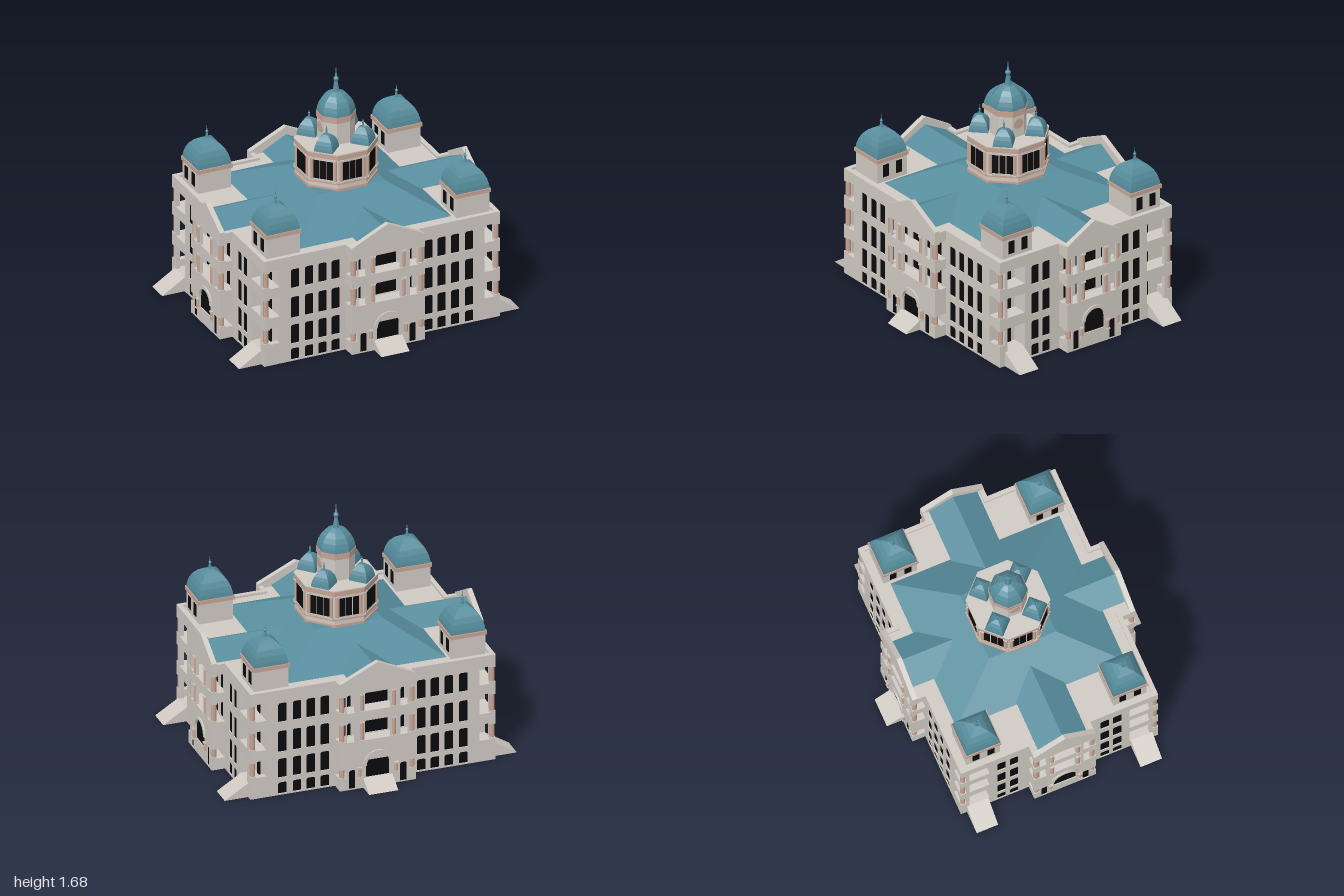
import * as THREE from 'three';

const material = (name, color) => { const m = new THREE.MeshStandardMaterial({ color }); m.name = name; return m; };

export function createModel() {
  const stone = material('pale stone', 0xcfc9c2), copper = material('teal roof', 0x578d9d);
  const salmon = material('salmon stone', 0xc6a493), glass = material('dark glass', 0x0b0b0d);
  const root = new THREE.Group();
  root.name = 'courthouse';

  // ---------- helpers ----------
  const add = (parent, name, geo, mat, x = 0, y = 0, z = 0, ry = 0) => {
    const m = new THREE.Mesh(geo, mat);
    m.name = name;
    m.position.set(x, y, z);
    m.rotation.y = ry;
    parent.add(m);
    return m;
  };
  const group = (name, ry = 0, x = 0, y = 0, z = 0) => {
    const g = new THREE.Group();
    g.name = name;
    g.rotation.y = ry;
    g.position.set(x, y, z);
    root.add(g);
    return g;
  };
  const flat = (g) => { const f = g.index ? g.toNonIndexed() : g; f.computeVertexNormals(); return f; };
  // box given by its extents
  const block = (p, name, mat, x0, x1, y0, y1, z0, z1) =>
    add(p, name, new THREE.BoxGeometry(Math.abs(x1 - x0), y1 - y0, Math.abs(z1 - z0)), mat, (x0 + x1) / 2, (y0 + y1) / 2, (z0 + z1) / 2);
  const column = (p, x, z, y0, y1, r = 0.016) => {
    add(p, 'column', new THREE.CylinderGeometry(r, r, y1 - y0, 12), salmon, x, (y0 + y1) / 2, z);
    for (const y of [y0 + 0.005, y1 - 0.005]) add(p, 'columnCap', new THREE.BoxGeometry(r * 2.3, 0.01, r * 2.3), stone, x, y, z);
  };
  const poly = (pts) => new THREE.Shape(pts.map(([x, y]) => new THREE.Vector2(x, y)));
  const extrude = (shape, depth) => new THREE.ExtrudeGeometry(shape, { depth, bevelEnabled: false, curveSegments: 10 });
  const opening = ({ x0, x1, y0, y1, arch }) => {
    if (!arch) {
      const c = 0.009;
      return poly([[x0, y0], [x1, y0], [x1, y1 - c], [x1 - c, y1], [x0 + c, y1], [x0, y1 - c]]);
    }
    const r = (x1 - x0) / 2, s = new THREE.Shape();
    s.moveTo(x0, y0);
    s.lineTo(x1, y0);
    s.lineTo(x1, y1 - r);
    s.absarc((x0 + x1) / 2, y1 - r, r, 0, Math.PI, false);
    s.closePath();
    return s;
  };
  // wall panel with its outer face at z, pierced by glazed or open holes
  const wall = (p, name, half, top, z, holes) => {
    const s = poly([[-half, 0], [half, 0], [half, top], [-half, top]]);
    for (const h of holes) {
      s.holes.push(opening(h));
      if (!h.open) add(p, 'windowPane', extrude(opening(h), 0.006), glass, 0, 0, z - 0.013);
    }
    add(p, name, extrude(s, 0.02), stone, 0, 0, z - 0.02);
  };
  const lathe = (pts, sides) => flat(new THREE.LatheGeometry(pts.map(([r, y]) => new THREE.Vector2(r, y)), sides));
  const prism = (r, y0, y1, sides, p, name, mat, x = 0, z = 0, ry = 0) =>
    add(p, name, flat(new THREE.CylinderGeometry(r, r, y1 - y0, sides)), mat, x, (y0 + y1) / 2, z, ry);
  // faceted dome with a bulging outline
  const dome = (p, r, y, h, sides, x, z, ry) => {
    const pts = [[1, 0], [0.97, 0.18], [0.89, 0.4], [0.75, 0.62], [0.52, 0.82], [0.26, 0.95], [0, 1]];
    add(p, 'dome', lathe(pts.map(([a, b]) => [a * r, b * h]), sides), copper, x, y, z, ry);
  };
  const finial = (p, x, y, z, h) => {
    const pts = [[0.14, -0.08], [0.11, 0.1], [0.06, 0.38], [0.1, 0.44], [0.1, 0.5], [0.05, 0.56], [0.025, 0.7], [0, 1]];
    add(p, 'finial', lathe(pts.map(([a, b]) => [a * h, b * h]), 8), copper, x, y, z);
  };
  // sloping ramp: high at the wall, falling toward +z
  const ramp = (p, x, z, width, run, h) => {
    const g = extrude(poly([[0, 0], [run, 0], [0, h]]), width);
    g.rotateY(-Math.PI / 2);
    add(p, 'ramp', g, stone, x + width / 2, 0, z);
  };

  const TOP = 0.735;
  const rows = [[0.01, 0.09], [0.125, 0.26], [0.31, 0.46], [0.525, 0.66]];

  // ---------- four facades, each with a projecting bay ----------
  const facade = (ry, D, half, w, windowsX, door) => {
    const g = group('facade', ry), k = w / 0.26, F = D + 0.09;
    const holes = [];
    for (const s of [-1, 1]) {
      for (const x of windowsX) for (const [y0, y1] of rows) holes.push({ x0: s * x - 0.03, x1: s * x + 0.03, y0, y1 });
    }
    for (const [y0, y1] of [[0.345, 0.475], [0.55, 0.67]]) {
      holes.push({ x0: -0.1 * k, x1: 0.1 * k, y0, y1 });
      for (const s of [-1, 1]) holes.push({ x0: s * 0.183 * k - 0.03, x1: s * 0.183 * k + 0.03, y0, y1 });
    }
    wall(g, 'mainWall', half, TOP, D, holes);

    // bay front with loggia openings, entrance and small doors
    const bay = [{ x0: -door.r, x1: door.r, y0: door.y0, y1: door.y1, arch: true, open: door.lunette }];
    for (const [y0, y1] of [[0.34, 0.48], [0.55, 0.68]]) {
      bay.push({ x0: -0.09 * k, x1: 0.09 * k, y0, y1, open: true });
      for (const s of [-1, 1]) {
        bay.push({ x0: s * 0.183 * k - 0.028 * k, x1: s * 0.183 * k + 0.028 * k, y0, y1, open: true });
        column(g, s * 0.11 * k, F - 0.004, y0, y1, 0.014);
      }
    }
    for (const s of [-1, 1]) bay.push({ x0: s * 0.175 * k - 0.022, x1: s * 0.175 * k + 0.022, y0: 0.006, y1: 0.14 });
    wall(g, 'bayFront', 0.215 * k, TOP, F, bay);
    if (door.lunette) {
      block(g, 'entranceDoor', glass, -door.r, door.r, door.y0, 0.19, F - 0.018, F - 0.012);
      block(g, 'lunette', stone, -door.r, door.r, 0.19, door.y1, F - 0.018, F - 0.012);
    }
    const ring = new THREE.Shape(), cy = door.y1 - door.r;
    ring.absarc(0, cy, door.r + 0.022, 0, Math.PI, false);
    ring.absarc(0, cy, door.r, Math.PI, 0, true);
    add(g, 'doorArch', extrude(ring, 0.012), stone, 0, 0, F - 0.002);
    for (const [y0, y1] of [[0, 0.08], [0.16, 0.34], [0.48, 0.55], [0.68, TOP]]) {
      block(g, 'bayFloor', stone, -w, w, y0, y1, D, F - 0.02);
      for (const s of [-1, 1]) block(g, 'bayCorner', stone, s * 0.215 * k, s * w, y0, y1, F - 0.02, F);
    }
    for (const s of [-1, 1]) {
      for (const [y0, y1] of [[0.08, 0.16], [0.34, 0.48], [0.55, 0.68]]) column(g, s * (w - 0.02), F - 0.02, y0, y1, 0.018);
      column(g, s * 0.125 * k, F + 0.003, 0.08, 0.155, 0.012);
    }
    // gable parapet and wing roof behind it
    add(g, 'gable', extrude(poly([[-w, TOP], [w, TOP], [w, 0.765], [0, 0.89], [-w, 0.765]]), 0.035), stone, 0, 0, F - 0.035);
    add(g, 'wingRoof', extrude(poly([[-0.17, 0.748], [0.17, 0.748], [0, 0.836]]), F - 0.335), copper, 0, 0, 0.3);
    return g;
  };
  for (const ry of [0, Math.PI]) {
    const g = facade(ry, 0.69, 0.73, 0.26, [0.33, 0.425, 0.52, 0.62], { r: 0.08, y0: 0.07, y1: 0.238, lunette: true });
    ramp(g, 0, 0.78, 0.2, 0.11, 0.07);
  }
  for (const ry of [Math.PI / 2, -Math.PI / 2]) {
    const g = facade(ry, 0.84, 0.49, 0.215, [0.317, 0.405], { r: 0.077, y0: 0.1, y1: 0.26, lunette: false });
    for (const s of [-1, 1]) ramp(g, s * 0.573, 0.84, 0.15, 0.16, 0.1);
  }

  // ---------- corner porches and domed towers ----------
  for (const sx of [-1, 1]) for (const sz of [-1, 1]) {
    const g = group('cornerPorch');
    for (const [y0, y1] of [[0, 0.1], [0.265, 0.34], [0.48, 0.55], [0.675, TOP]])
      block(g, 'porchFloor', stone, sx * 0.73, sx * 0.84, y0, y1, sz * 0.49, sz * 0.69);
    block(g, 'porchBackWall', stone, sx * 0.71, sx * 0.73, 0, TOP, sz * 0.49, sz * 0.69);
    block(g, 'porchSideWall', stone, sx * 0.71, sx * 0.84, 0, TOP, sz * 0.47, sz * 0.49);
    block(g, 'porchPier', stone, sx * 0.81, sx * 0.84, 0, TOP, sz * 0.63, sz * 0.65);
    block(g, 'porchPlinth', stone, sx * 0.73, sx * 0.84, 0.1, 0.15, sz * 0.65, sz * 0.69);
    for (const [y0, y1] of [[0.15, 0.265], [0.34, 0.48], [0.55, 0.675]]) {
      column(g, sx * 0.82, sz * 0.67, y0, y1, 0.017);
      block(g, 'porchDoor', glass, sx * 0.73, sx * 0.734, y0 === 0.15 ? 0.1 : y0, y1 - 0.008, sz * 0.52, sz * 0.575);
    }

    const t = group('cornerTower', 0, sx * 0.675, 0, sz * 0.513);
    block(t, 'towerBody', stone, -0.117, 0.117, 0.73, 0.88, -0.117, 0.117);
    block(t, 'towerBand', salmon, -0.125, 0.125, 0.88, 0.907, -0.125, 0.125);
    for (const s of [-1, 1]) for (const z of [-0.052, 0.052]) {
      block(t, 'towerWindowFrame', stone, s * 0.117, s * 0.119, 0.765, 0.868, z - 0.03, z + 0.03);
      block(t, 'towerWindow', glass, s * 0.119, s * 0.122, 0.772, 0.86, z - 0.023, z + 0.023);
    }
    dome(t, 0.118 * Math.SQRT2, 0.907, 0.163, 4, 0, 0, Math.PI / 4);
    finial(t, 0, 1.065, 0, 0.1);
  }

  // ---------- roof deck, parapet and main roof ----------
  const outline = (d) => {
    const X = 0.84 - d, Z = 0.69 - d, BX = 0.93 - d, BZ = 0.78 - d, w = 0.26 - d, v = 0.215 - d;
    const q = [[BX, v], [X, v], [X, Z], [w, Z], [w, BZ]], r = [...q].reverse();
    return poly([...q, ...r.map(([x, z]) => [-x, z]), ...q.map(([x, z]) => [-x, -z]), ...r.map(([x, z]) => [x, -z])]);
  };
  const horizontal = (shape, h) => extrude(shape, h).rotateX(-Math.PI / 2);
  const deck = outline(0.005), rim = outline(0);
  deck.holes.push(poly([[-0.53, -0.58], [0.53, -0.58], [0.53, 0.58], [-0.53, 0.58]]));
  rim.holes.push(outline(0.032));
  add(root, 'roofDeck', horizontal(deck, 0.012), stone, 0, 0.726, 0);
  add(root, 'parapet', horizontal(rim, 0.02), stone, 0, TOP, 0);

  const hip = new THREE.BoxGeometry(1.08, 0.165, 1.18), hp = hip.attributes.position;
  for (let i = 0; i < hp.count; i++) {
    if (hp.getY(i) > 0) hp.setXYZ(i, Math.sign(hp.getX(i)) * 0.235, hp.getY(i), Math.sign(hp.getZ(i)) * 0.235);
  }
  add(root, 'mainRoof', flat(hip), copper, 0, 0.8225, 0);

  // ---------- octagonal drum ----------
  const drum = group('drum'), E = Math.PI / 8, oct = (a) => a / Math.cos(E);
  prism(oct(0.243), 0.82, 1.155, 8, drum, 'drumBody', stone, 0, 0, E);
  for (const [y0, y1, a] of [[0.9, 0.918, 0.25], [0.945, 0.957, 0.249], [1.122, 1.155, 0.25]])
    prism(oct(a), y0, y1, 8, drum, 'drumBand', salmon, 0, 0, E);
  prism(oct(0.252), 1.155, 1.162, 8, drum, 'drumCap', stone, 0, 0, E);
  for (let i = 0; i < 8; i++) {
    const f = new THREE.Group();
    f.name = 'drumWindows';
    f.rotation.y = i * Math.PI / 4;
    drum.add(f);
    for (const x of [-0.047, 0, 0.047]) block(f, 'drumWindow', glass, x - 0.02, x + 0.02, 0.972, 1.1, 0.241, 0.247);
    for (const x of [-0.08, 0.08]) column(f, x, 0.243, 0.957, 1.122, 0.012);
  }

  // ---------- small domes around the lantern ----------
  for (const sx of [-1, 1]) for (const sz of [-1, 1]) {
    dome(drum, 0.09, 1.162, 0.11, 4, sx * 0.13, sz * 0.13, 0);
    finial(drum, sx * 0.13, 1.265, sz * 0.13, 0.075);
  }

  // ---------- lantern, great dome and spire ----------
  const lantern = group('lantern');
  prism(oct(0.112), 1.16, 1.315, 8, lantern, 'lanternBody', stone, 0, 0, E);
  prism(oct(0.12), 1.315, 1.355, 8, lantern, 'lanternBand', salmon, 0, 0, E);
  for (const s of [-1, 1]) {
    const disc = add(lantern, 'roundPanel', new THREE.CylinderGeometry(0.036, 0.036, 0.006, 20), salmon, s * 0.114, 1.257, 0);
    disc.rotation.z = Math.PI / 2;
  }
  dome(lantern, oct(0.117), 1.355, 0.145, 8, 0, 0, E);
  finial(lantern, 0, 1.492, 0, 0.186);
  return root;
}
